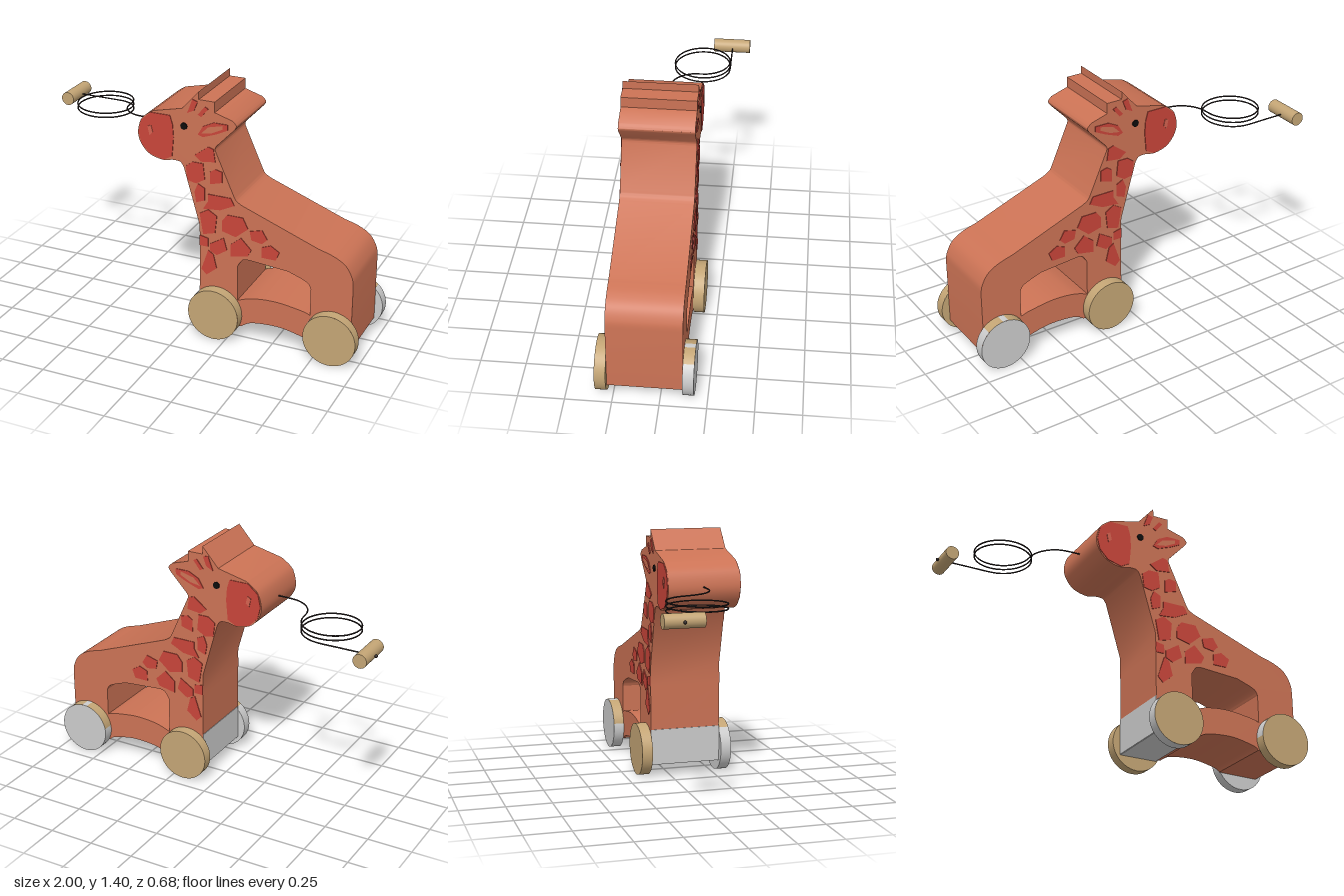
import * as THREE from 'three';
import { toCreasedNormals } from 'three/addons/utils/BufferGeometryUtils.js';

const mat = (name, color) => {
  const m = new THREE.MeshStandardMaterial({ color });
  m.name = name;
  return m;
};

const BACK = -0.12, FRONT = 0.28; // the two flat sides of the body

export function createModel() {
  const terracotta = mat('terracotta', 0xcc7355);
  const red = mat('red', 0xc9453a);
  const pink = mat('pink', 0xd4624f);
  const tan = mat('tan wood', 0xc4a575);
  const grey = mat('bare grey', 0xcccccc);
  const black = mat('black', 0x0c0c0c);
  const cord = mat('dark cord', 0x2a2222);

  const model = new THREE.Group();
  model.name = 'pullAlongGiraffe';
  const add = (name, geometry, material, parent = model) => {
    const mesh = new THREE.Mesh(geometry, material);
    mesh.name = name;
    parent.add(mesh);
    return mesh;
  };
  // points are [x, y, x, y, ...] in hundredths
  const points = (flat) => {
    const out = [];
    for (let i = 0; i < flat.length; i += 2) out.push(new THREE.Vector2(flat[i] / 100, flat[i + 1] / 100));
    return out;
  };

  // Body: one thick board cut to the silhouette, with an opening above the lower rail
  const body = new THREE.Shape();
  const line = (flat) => points(flat).forEach((p) => body.lineTo(p.x, p.y));
  const bend = (flat) => body.splineThru(points(flat));
  body.moveTo(0.08, 0.08);
  line([30, 8, 33, 8.8]);
  bend([39.3, 12, 54.3, 13, 67.6, 10.4, 71, 8.3]); // rail underside
  line([95.2, 8, 95.2, 46]);
  bend([94.4, 51.6, 90.6, 58, 84, 62, 75.7, 64.5]); // rump
  line([32, 81]);
  bend([29, 83, 27.5, 85.5]);
  line([17, 109]);
  bend([16.8, 110.5, 17.5, 112]);
  line([27.5, 122.5]);
  bend([28.7, 125, 26.5, 127.5]); // ear tip
  line([16.5, 130.5, 16.5, 136.3, 7.5, 136.3, 7.5, 140.7, -2, 130, -19, 126]);
  bend([-25.5, 121, -28, 113, -26.5, 106.7, -21.7, 101.3, -14, 99, -8, 100]); // muzzle
  bend([-3.5, 99.7, -1.3, 97]);
  line([7.8, 65, 8, 53]);
  body.closePath();
  const opening = new THREE.Path();
  opening.moveTo(0.302, 0.24);
  opening.lineTo(0.302, 0.45);
  opening.splineThru(points([33, 49, 36.6, 49.7]));
  opening.lineTo(0.59, 0.479);
  opening.splineThru(points([69.3, 44, 72, 40.4]));
  opening.lineTo(0.72, 0.245);
  opening.splineThru(points([67.6, 26, 52.7, 28, 39.3, 27, 30.2, 24]));
  body.holes.push(opening);
  const bodyGeo = new THREE.ExtrudeGeometry(body, { depth: FRONT - BACK, bevelEnabled: false, curveSegments: 5 });
  bodyGeo.translate(0, 0, BACK);
  add('body', toCreasedNormals(bodyGeo, 0.5), terracotta);

  // Bare panels at the foot of the front leg
  add('frontLegPanel', new THREE.BoxGeometry(0.004, 0.2, 0.4), grey).position.set(0.079, 0.18, 0.08);
  add('frontLegUnderside', new THREE.BoxGeometry(0.22, 0.004, 0.4), grey).position.set(0.19, 0.079, 0.08);

  // Painted markings: thin plates on both sides
  const paint = (name, flat, material, thick = 0.004, hole) => {
    const shape = new THREE.Shape(points(flat));
    if (hole) shape.holes.push(new THREE.Path(points(hole)));
    const geo = new THREE.ExtrudeGeometry(shape, { depth: thick, bevelEnabled: false });
    add(name + 'Front', geo, material).position.z = FRONT;
    add(name + 'Back', geo, material).position.z = BACK - thick;
  };
  paint('muzzlePatch', [-26, 120, -20, 125, -9, 125, -7.5, 120, -7, 113, -8, 102, -13, 99.3, -21, 101.3, -26, 106.5, -27.6, 113], red);
  paint('nostril', [-22, 117, -20, 118, -19, 114, -21, 112], pink, 0.007);
  paint('earOutline', [7, 117, 10, 122, 16, 125, 24, 125, 24, 122, 18, 119, 10, 116], red, 0.004,
    [9, 118, 13, 122, 21, 124, 21, 122, 15, 119]);
  const neckSpots = [
    [1, 128, 4, 136, 7, 135, 5, 130],
    [7, 128, 11, 133, 13, 132, 9, 127],
    [5, 105, 13, 111, 16, 110, 17, 103, 9, 102],
    [0, 98, 4, 101, 10, 101, 11, 92, 6, 89, 1, 90],
    [14, 97, 17, 99, 21, 98, 21, 92, 14, 90],
    [5, 84, 7, 89, 11, 87, 11, 80, 6, 78],
    [13, 84, 26, 84, 28, 80, 20, 76, 10, 75, 13, 80],
  ];
  const chestSpots = [
    [8, 72, 13, 75, 18, 72, 17, 62, 10, 60],
    [21, 70, 24, 74, 33, 74, 36, 68, 29, 62, 21, 64],
    [37, 67, 44, 69, 47, 64, 44, 61, 38, 62],
    [8, 59, 13, 58, 13, 53, 8, 53],
    [14, 55, 22, 60, 24, 53, 18, 49, 14, 51],
    [26, 57, 32, 62, 38, 56, 36, 52, 26, 50],
    [44, 59, 49, 61, 54, 58, 52, 53, 44, 53],
    [9, 39, 13, 51, 16, 49, 18, 41, 12, 36],
  ];
  neckSpots.forEach((s) => paint('neckSpot', s, red));
  chestSpots.forEach((s) => paint('chestSpot', s, red));

  // Eyes
  for (const [name, z] of [['eyeFront', FRONT + 0.003], ['eyeBack', BACK - 0.003]]) {
    const geo = new THREE.CylinderGeometry(0.019, 0.019, 0.006, 24).rotateX(Math.PI / 2);
    add(name, geo, black).position.set(-0.01, 1.203, z);
  }

  // Wheels: two faces and a rim made of coloured arcs [from, to, material] in degrees
  const R = 0.147, W = 0.06;
  const wheel = (name, x, z, frontMat, backMat, arcs) => {
    const group = new THREE.Group();
    group.name = name;
    group.position.set(x, 0.15, z);
    const disc = new THREE.CircleGeometry(R, 48);
    add('wheelFaceFront', disc, frontMat, group).position.z = W / 2;
    const back = add('wheelFaceBack', disc, backMat, group);
    back.position.z = -W / 2;
    back.rotation.y = Math.PI;
    for (const [from, to, material] of arcs) {
      const start = THREE.MathUtils.degToRad(from + 90), sweep = THREE.MathUtils.degToRad(to - from);
      const rim = new THREE.CylinderGeometry(R, R, W, Math.ceil((to - from) / 7.5), 1, true, start, sweep);
      add('wheelRim', rim.rotateX(Math.PI / 2), material, group);
    }
    model.add(group);
  };
  const zf = FRONT + W / 2, zb = BACK - W / 2;
  wheel('foreWheelFront', 0.182, zf, tan, grey, [[-60, 128, tan], [128, 300, grey]]);
  wheel('foreWheelBack', 0.182, zb, tan, tan, [[0, 360, tan]]);
  wheel('hindWheelFront', 0.85, zf, tan, tan, [[-180, 138, tan], [138, 180, grey]]);
  wheel('hindWheelBack', 0.85, zb, grey, grey,
    [[-190, 48, grey], [48, 86, tan], [86, 98, grey], [98, 170, tan]]);

  // Pull cord: S-bend from the muzzle, coil, then straight to the handle
  const path = [new THREE.Vector3(-0.27, 1.128, 0.075), new THREE.Vector3(-0.35, 1.127, 0.075)];
  const r = 0.157, cx = -0.67, cz = -0.082;
  for (let i = 1; i < 6; i++) {
    const a = (i / 6) * Math.PI / 2;
    path.push(new THREE.Vector3(-0.356 - r * Math.sin(a), 1.127 - 0.001 * i, cz + r * Math.cos(a)));
  }
  const steps = 54;
  for (let i = 0; i <= steps; i++) {
    const a = (i / steps) * 2.25 * Math.PI * 2;
    path.push(new THREE.Vector3(cx + r * Math.cos(a), 1.12 - 0.056 * (i / steps), cz - r * Math.sin(a)));
  }
  path.push(new THREE.Vector3(-0.8, 1.064, -0.239), new THREE.Vector3(-0.995, 1.064, -0.239));
  add('pullCord', new THREE.TubeGeometry(new THREE.CatmullRomCurve3(path), 320, 0.004, 6), cord);
  add('cordKnot', new THREE.SphereGeometry(0.009, 12, 8), cord).position.set(-0.99, 1.064, -0.239);

  // Handle
  const handle = new THREE.CylinderGeometry(0.038, 0.038, 0.21, 32).rotateX(Math.PI / 2);
  add('handle', handle, tan).position.set(-0.945, 1.066, -0.235);

  return model;
}
